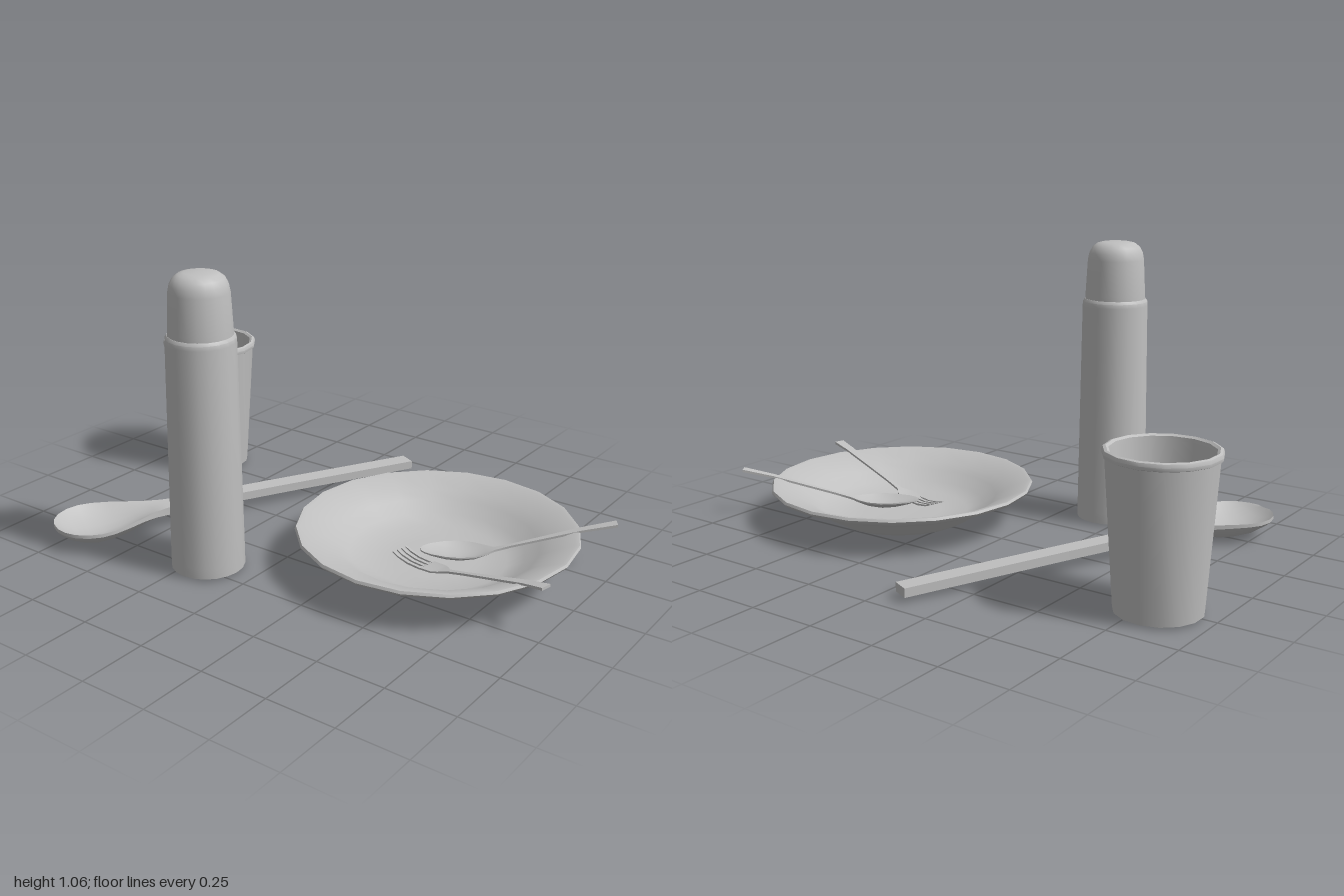
import * as THREE from 'three';
import { toCreasedNormals } from 'three/addons/utils/BufferGeometryUtils.js';

const grey = new THREE.MeshStandardMaterial({ color: 0xbfbfbf });
grey.name = 'plain grey';

function mesh(name, geometry, crease = 0.6) {
  const m = new THREE.Mesh(toCreasedNormals(geometry, crease), grey);
  m.name = name;
  return m;
}

// Turned part standing at (x, z); profile runs from the bottom centre outwards and up
function turned(name, profile, sides, x, z) {
  const points = profile.map(([r, y]) => new THREE.Vector2(r, y));
  const m = mesh(name, new THREE.LatheGeometry(points, sides));
  m.position.set(x, 0, z);
  return m;
}

// Lofted strip along +z. Station: [z, half width, top y, edge thickness, belly depth, hollow depth, x offset]
function loft(stations, cols = 10) {
  const pos = [], idx = [], ring = 2 * cols + 2;
  for (const [z, w, top, edge, belly = 0, hollow = 0, x = 0] of stations) {
    for (let j = 0; j < ring; j++) {
      const upper = j <= cols;
      const k = upper ? j : ring - 1 - j;
      const s = -Math.cos((k / cols) * Math.PI);
      const curve = 1 - s * s;
      pos.push(x + s * w, upper ? top - hollow * curve : top - edge - belly * curve, z);
    }
  }
  const last = (stations.length - 1) * ring;
  for (let i = 0; i < last; i += ring) {
    for (let j = 0; j < ring; j++) {
      const a = i + j, b = i + ((j + 1) % ring), c = a + ring, d = b + ring;
      idx.push(a, c, b, b, c, d);
    }
  }
  // end caps
  for (let j = 0; j < cols; j++) {
    const a = j, b = j + 1, c = ring - 2 - j, d = ring - 1 - j;
    idx.push(a, b, c, a, c, d);
    idx.push(last + a, last + c, last + b, last + a, last + d, last + c);
  }
  const g = new THREE.BufferGeometry();
  g.setAttribute('position', new THREE.Float32BufferAttribute(pos, 3));
  g.setIndex(idx);
  return g;
}

// Group starting at (x, z) whose local +z points along (dx, dz)
function laid(name, x, z, dx, dz, ...parts) {
  const g = new THREE.Group();
  g.name = name;
  g.position.set(x, 0, z);
  g.rotation.y = Math.atan2(dx, dz);
  g.add(...parts);
  return g;
}

export function createModel() {
  const model = new THREE.Group();
  model.name = 'tableware';

  // Flask: tapered body, small collar and rounded cap
  model.add(turned('flaskBody', [
    [0, 0.01], [0.13, 0.01], [0.13, 0.05], [0.121, 0.83], [0.12, 0.845], [0.113, 0.855], [0, 0.855],
  ], 20, -0.46, -0.19));
  model.add(turned('flaskCap', [
    [0, 0.85], [0.112, 0.85], [0.111, 0.87], [0.104, 1.0], [0.099, 1.025], [0.088, 1.046],
    [0.07, 1.06], [0.05, 1.065], [0, 1.066],
  ], 20, -0.46, -0.19));

  // Cup with a rolled rim and a hollow inside
  model.add(turned('cup', [
    [0, 0.01], [0.147, 0.01], [0.181, 0.508], [0.188, 0.511], [0.19, 0.522], [0.186, 0.533],
    [0.177, 0.536], [0.168, 0.53], [0.166, 0.515], [0.135, 0.03], [0, 0.03],
  ], 15, 0.28, -0.81));

  // Deep plate with a wide sloping rim
  model.add(turned('plate', [
    [0, 0.01], [0.25, 0.01], [0.3, 0.038], [0.345, 0.07], [0.4, 0.096], [0.49, 0.13], [0.5, 0.142],
    [0.495, 0.151], [0.48, 0.149], [0.4, 0.115], [0.36, 0.092], [0.31, 0.057], [0.25, 0.032],
    [0.15, 0.026], [0, 0.025],
  ], 20, 0.015, 0.46));

  // Large serving spoon
  model.add(laid('servingSpoon', 0.675, -0.085, -0.904, -0.427, mesh('servingSpoonBody', loft([
    [0, 0.034, 0.05, 0.032],
    [0.6, 0.034, 0.069, 0.032],
    [1.03, 0.035, 0.081, 0.032],
    [1.08, 0.041, 0.082, 0.03, 0.004, 0],
    [1.13, 0.055, 0.083, 0.024, 0.018, 0.006],
    [1.19, 0.082, 0.083, 0.017, 0.043, 0.03],
    [1.26, 0.115, 0.083, 0.014, 0.063, 0.052],
    [1.32, 0.136, 0.083, 0.013, 0.069, 0.06],
    [1.37, 0.141, 0.083, 0.013, 0.068, 0.058],
    [1.42, 0.128, 0.083, 0.013, 0.056, 0.048],
    [1.46, 0.1, 0.083, 0.013, 0.038, 0.03],
    [1.485, 0.066, 0.083, 0.013, 0.02, 0.014],
    [1.498, 0.03, 0.083, 0.013, 0.004, 0.002],
  ]))));

  // Teaspoon leaning on the plate
  model.add(laid('teaspoon', 0.345, 0.985, -0.553, -0.833, mesh('teaspoonBody', loft([
    [0, 0.018, 0.184, 0.01],
    [0.12, 0.014, 0.158, 0.008],
    [0.36, 0.008, 0.092, 0.008],
    [0.42, 0.013, 0.076, 0.008, 0.002, 0],
    [0.45, 0.035, 0.072, 0.006, 0.012, 0.008],
    [0.49, 0.058, 0.07, 0.005, 0.024, 0.02],
    [0.54, 0.068, 0.07, 0.005, 0.03, 0.026],
    [0.59, 0.062, 0.07, 0.005, 0.026, 0.022],
    [0.64, 0.044, 0.07, 0.005, 0.015, 0.011],
    [0.665, 0.027, 0.07, 0.005, 0.006, 0.004],
    [0.678, 0.009, 0.07, 0.005],
  ]))));

  // Fork: handle and head, then four tines
  const fork = laid('fork', -0.2, 0.99, 0.221, -0.975, mesh('forkHandle', loft([
    [0, 0.02, 0.177, 0.01],
    [0.08, 0.017, 0.16, 0.008],
    [0.34, 0.008, 0.088, 0.008],
    [0.42, 0.01, 0.066, 0.008],
    [0.445, 0.027, 0.06, 0.006, 0.002, 0.002],
    [0.47, 0.036, 0.055, 0.006, 0.003, 0.003],
    [0.53, 0.037, 0.048, 0.006, 0.003, 0.003],
  ], 6)));
  for (let i = 0; i < 4; i++) {
    const x = (i - 1.5) * 0.0207;
    fork.add(mesh('forkTine', loft([
      [0.52, 0.006, 0.049, 0.007, 0, 0, x],
      [0.58, 0.006, 0.047, 0.007, 0, 0, x],
      [0.63, 0.005, 0.053, 0.006, 0, 0, x],
      [0.656, 0.003, 0.06, 0.004, 0, 0, x],
    ], 2)));
  }
  model.add(fork);

  return model;
}
